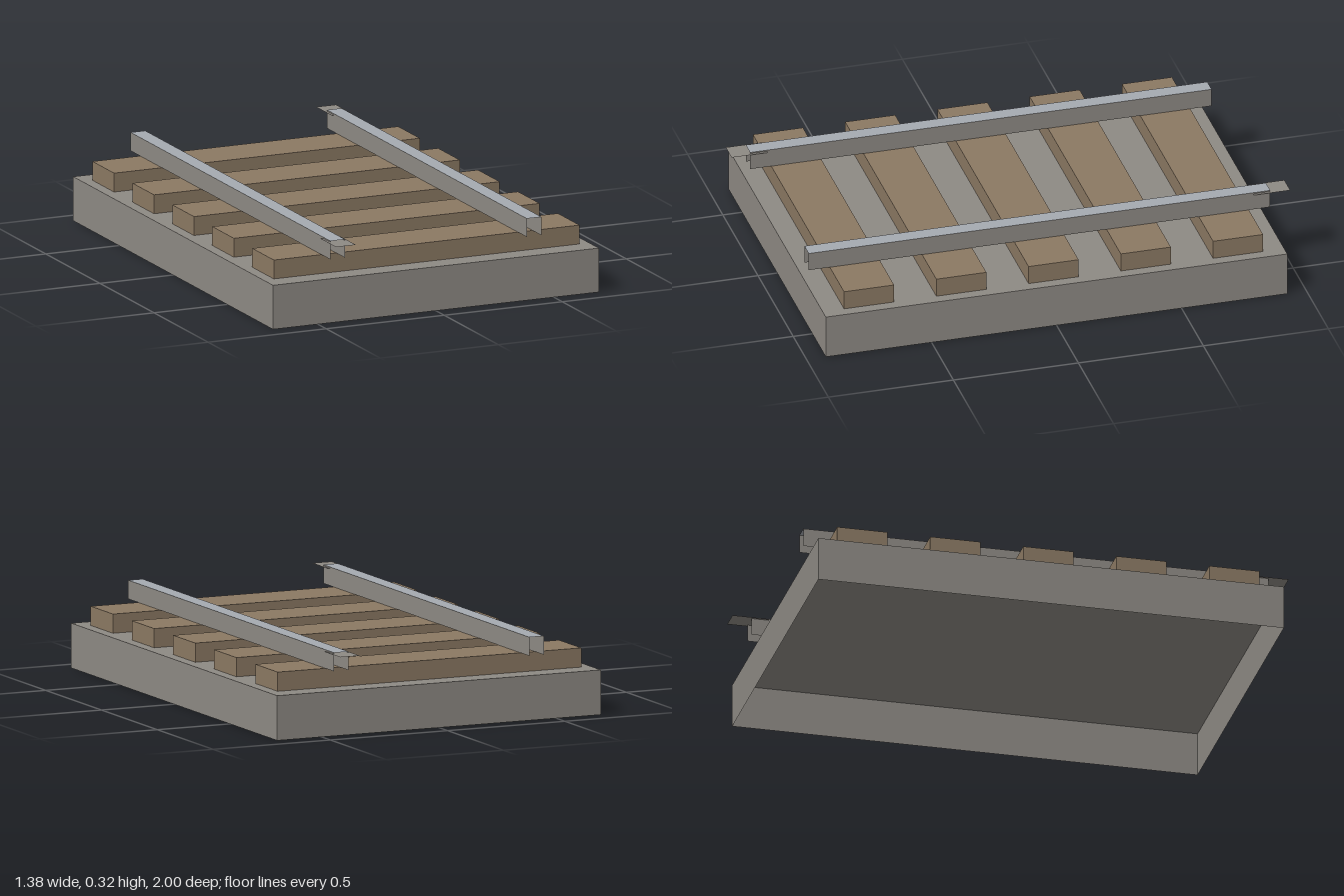
import * as THREE from 'three';

// BoxGeometry face order: 0 +x, 1 -x, 2 +y, 3 -y, 4 +z, 5 -z
function openBox(w, h, d, faces) {
  const geo = new THREE.BoxGeometry(w, h, d);
  const source = Array.from(geo.index.array);
  const index = [];
  geo.clearGroups();
  for (const f of faces) {
    // material 1 is used for the top face, material 0 for the walls
    geo.addGroup(index.length, 6, f === 2 ? 1 : 0);
    index.push(...source.slice(f * 6, f * 6 + 6));
  }
  geo.setIndex(index);
  return geo;
}

export function createModel() {
  const material = (name, color) => {
    const m = new THREE.MeshStandardMaterial({ color, side: THREE.DoubleSide });
    m.name = name;
    return m;
  };
  const stone = material('stoneGrey', 0x8e8a84);
  const wood = material('sleeperBrown', 0x8b7963);
  const steel = material('railSteel', 0xa5aab1);

  const model = new THREE.Group();
  model.name = 'trackSection';
  const add = (name, geo, mat, x, y, z) => {
    const mesh = new THREE.Mesh(geo, mat);
    mesh.name = name;
    mesh.position.set(x, y, z);
    model.add(mesh);
  };

  // Hollow bed, open underneath
  add('trackBed', openBox(1.38, 0.175, 1.846, [0, 1, 2, 4, 5]), [stone, stone], 0, 0.0875, 0);

  // Five wooden sleepers
  for (let i = -2; i <= 2; i++) {
    add('sleeper', new THREE.BoxGeometry(1.295, 0.075, 0.2), wood, 0, 0.2135, i * 0.369);
  }

  // Two rails of thin sheet, open at the ends and below, each with one joining tab
  for (const side of [-1, 1]) {
    add('rail', openBox(0.062, 0.073, 1.846, [0, 1, 2]), [stone, steel], side * 0.416, 0.2885, 0);
    const tab = new THREE.PlaneGeometry(0.084, 0.145).rotateX(-Math.PI / 2);
    add('joiningTab', tab, stone, side * 0.416, 0.32, side * -0.9275);
  }
  return model;
}
